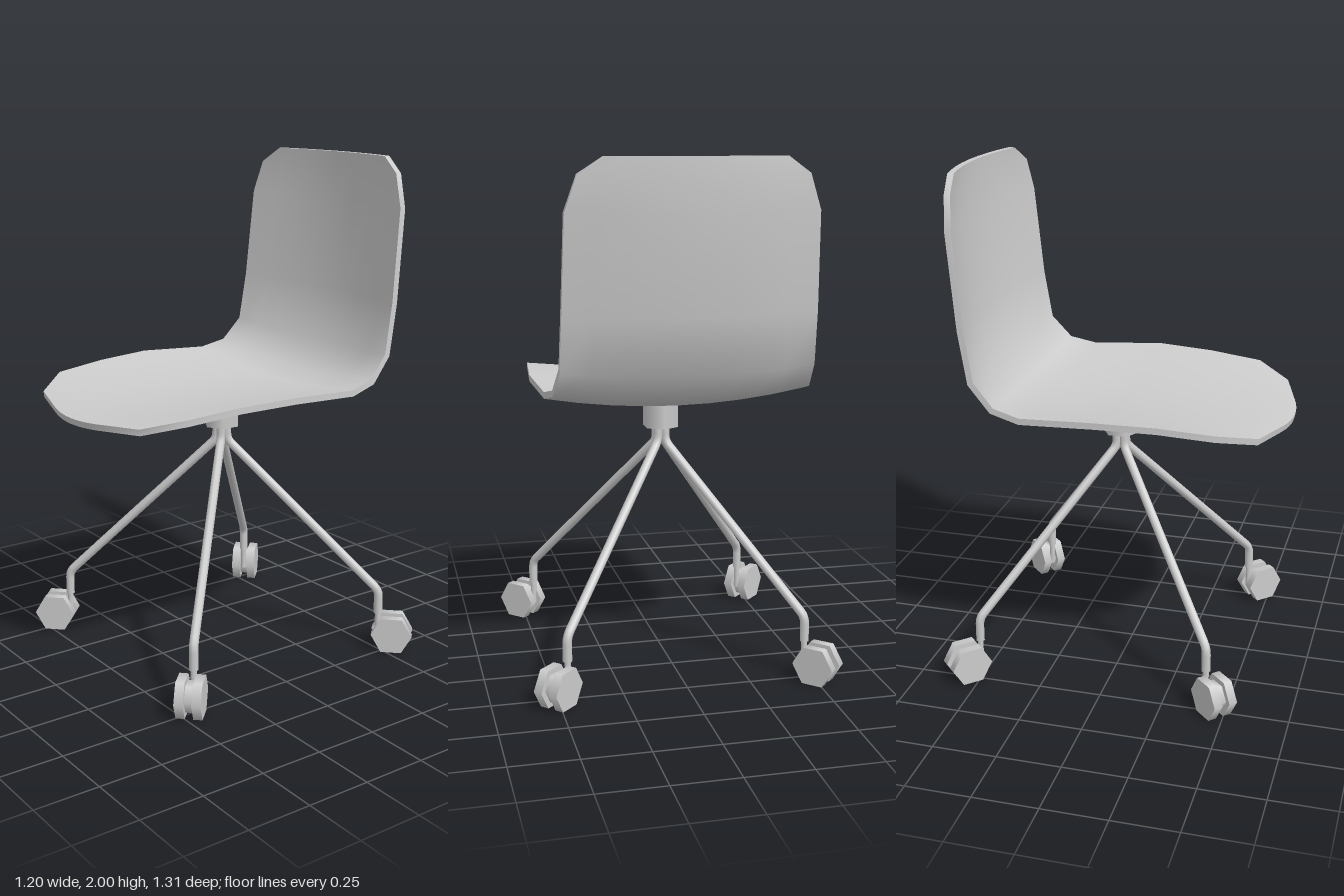
import * as THREE from 'three';
import { mergeGeometries } from 'three/addons/utils/BufferGeometryUtils.js';

const grey = new THREE.MeshStandardMaterial({ color: 0xcccccc });

function part(name, geometry, parent, x = 0, y = 0, z = 0) {
  const mesh = new THREE.Mesh(geometry, grey);
  mesh.name = name;
  mesh.position.set(x, y, z);
  parent.add(mesh);
  return mesh;
}

// Smooth surface through a grid of points
function surface(rows) {
  const n = rows[0].length, index = [];
  for (let i = 0; i < rows.length - 1; i++) {
    for (let j = 0; j < n - 1; j++) {
      const a = i * n + j, c = a + n;
      index.push(a, a + 1, c + 1, a, c + 1, c);
    }
  }
  const g = new THREE.BufferGeometry().setFromPoints(rows.flat());
  g.setIndex(index);
  g.computeVertexNormals();
  return g;
}

// Seat and backrest in one bent shell.
// Cross-sections front to top: centre z, y, edge z, y, half width
const sections = [
  [0.655, 1.065, 0.632, 1.07, 0.155],
  [0.60, 1.075, 0.573, 1.085, 0.355],
  [0.45, 1.087, 0.435, 1.124, 0.47],
  [0.22, 1.093, 0.22, 1.143, 0.495],
  [0, 1.095, -0.01, 1.15, 0.52],
  [-0.32, 1.09, -0.304, 1.135, 0.505],
  [-0.43, 1.127, -0.41, 1.16, 0.49],
  [-0.53, 1.225, -0.49, 1.25, 0.478],
  [-0.592, 1.44, -0.522, 1.447, 0.474],
  [-0.628, 1.81, -0.556, 1.81, 0.465],
  [-0.633, 1.94, -0.57, 1.94, 0.42],
  [-0.633, 2.0, -0.59, 2.0, 0.33],
];

function shellGeometry() {
  const cols = 8, thickness = 0.025, upper = [], lower = [];
  sections.forEach(([cz, cy, ez, ey, w], i) => {
    const p = sections[Math.max(i - 1, 0)];
    const q = sections[Math.min(i + 1, sections.length - 1)];
    const dz = q[0] - p[0], dy = q[1] - p[1], k = thickness / Math.hypot(dz, dy);
    const top = [], bottom = [];
    for (let j = 0; j <= cols; j++) {
      const u = (j / cols) * 2 - 1, t = u * u;
      const v = new THREE.Vector3(w * u, cy + (ey - cy) * t, cz + (ez - cz) * t);
      top.push(v);
      bottom.push(new THREE.Vector3(v.x, v.y + dz * k, v.z - dy * k));
    }
    upper.push(top);
    lower.push(bottom);
  });
  // Closed outline used for the rim
  const outline = (g) => [
    ...g[0],
    ...g.slice(1).map((r) => r[cols]),
    ...g[g.length - 1].slice(0, cols).reverse(),
    ...g.slice(0, -1).reverse().map((r) => r[0]),
  ];
  return mergeGeometries([
    surface(upper),
    surface(lower.map((r) => [...r].reverse())),
    surface([outline(lower), outline(upper)]),
  ]);
}

// Bent tube leg, running out along +z
function legGeometry() {
  const pts = [[0.95, 0.021], [0.87, 0.021], [0.25, 0.655], [0.157, 0.655]]
    .map(([y, z]) => new THREE.Vector3(0, y, z));
  const path = new THREE.CurvePath();
  let start = pts[0];
  for (let i = 1; i < 3; i++) {
    const before = pts[i].clone().add(pts[i - 1].clone().sub(pts[i]).setLength(0.025));
    const after = pts[i].clone().add(pts[i + 1].clone().sub(pts[i]).setLength(0.025));
    path.add(new THREE.LineCurve3(start, before));
    path.add(new THREE.QuadraticBezierCurve3(before, pts[i], after));
    start = after;
  }
  path.add(new THREE.LineCurve3(start, pts[3]));
  return new THREE.TubeGeometry(path, 64, 0.018, 8);
}

// Six-sided roller lying on its side
const roller = (radius, width) =>
  new THREE.CylinderGeometry(radius, radius, width, 6).rotateZ(Math.PI / 2);

export function createModel() {
  const model = new THREE.Group();
  model.name = 'swivelChair';

  part('seatShell', shellGeometry(), model);
  part('mountingPlate', new THREE.BoxGeometry(0.36, 0.02, 0.4), model, 0, 1.076, -0.02);

  const base = new THREE.Group();
  base.name = 'base';
  base.position.z = -0.047;
  model.add(base);
  part('hub', new THREE.CylinderGeometry(0.073, 0.073, 0.15, 6), base, 0, 1.003, 0);

  const tube = legGeometry();
  const collar = new THREE.CylinderGeometry(0.018, 0.018, 0.008, 8);
  const stem = new THREE.CylinderGeometry(0.012, 0.012, 0.1, 8);
  const wheel = roller(0.0835, 0.035);
  const axle = roller(0.06, 0.034);

  for (let i = 0; i < 4; i++) {
    const leg = new THREE.Group();
    leg.name = 'leg';
    leg.rotation.y = Math.PI / 4 + (i * Math.PI) / 2;
    base.add(leg);
    part('legTube', tube, leg);
    part('legEnd', collar, leg, 0, 0.157, 0.655);

    // Twin-wheel caster
    const caster = new THREE.Group();
    caster.name = 'caster';
    leg.add(caster);
    part('casterStem', stem, caster, 0, 0.11, 0.655);
    part('casterCore', axle, caster, 0, 0.0725, 0.714);
    for (const side of [-1, 1]) part('casterWheel', wheel, caster, side * 0.0335, 0.0725, 0.714);
  }
  return model;
}
